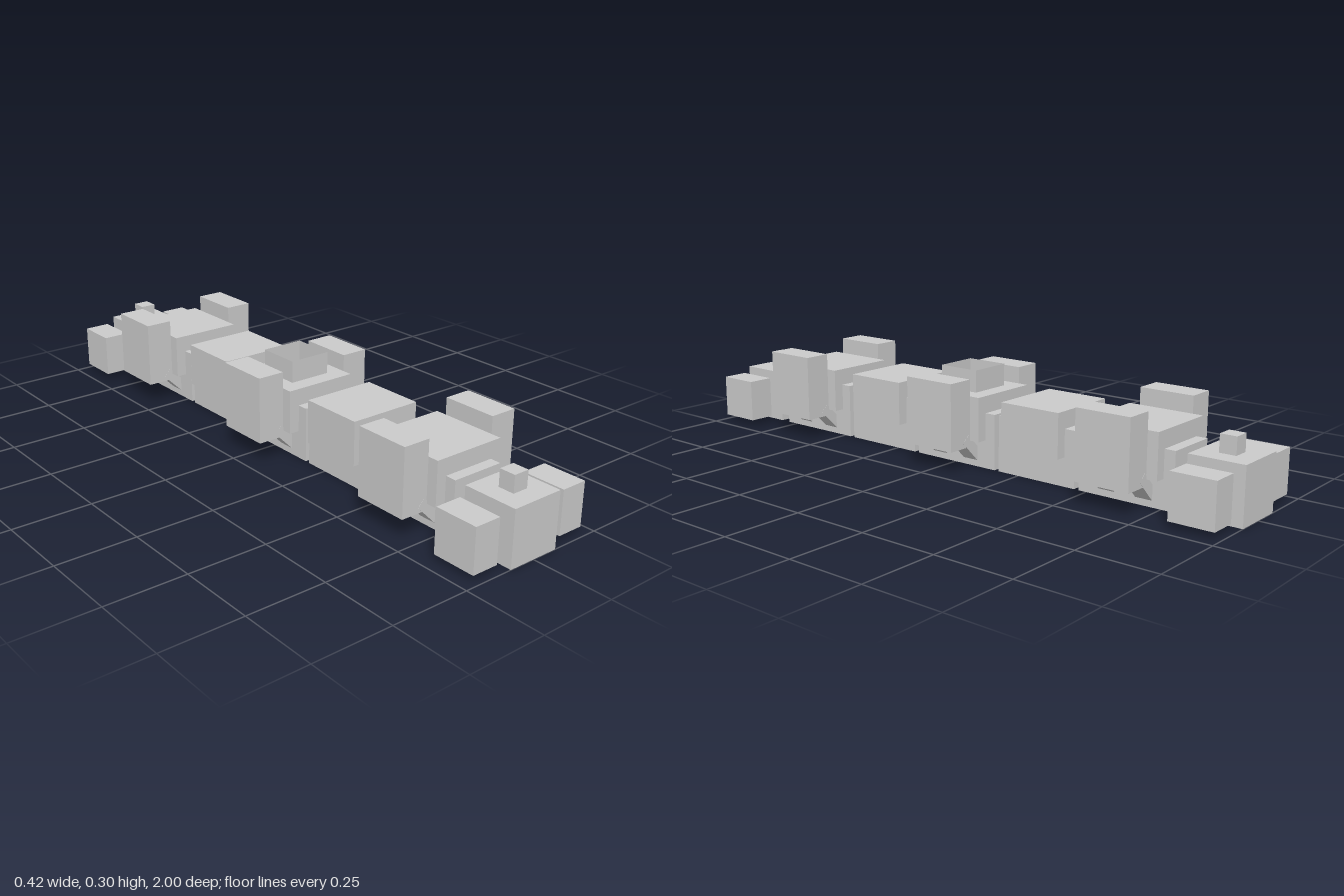
import * as THREE from 'three';

const material = new THREE.MeshStandardMaterial({ color: 0xcccccc, flatShading: true });
const thin = new THREE.MeshStandardMaterial({ color: 0xcccccc, flatShading: true, side: THREE.DoubleSide });

// Box given by its lower and upper limits on each axis
function block(parent, name, [x0, x1], [y0, y1], [z0, z1]) {
  const mesh = new THREE.Mesh(new THREE.BoxGeometry(x1 - x0, y1 - y0, z1 - z0), material);
  mesh.name = name;
  mesh.position.set((x0 + x1) / 2, (y0 + y1) / 2, (z0 + z1) / 2);
  parent.add(mesh);
  return mesh;
}

// Side module and its two slanted struts, on one side of a wide segment
function sideModule(parent, side) {
  const name = side > 0 ? 'left' : 'right';
  const xs = side > 0 ? [0.122, 0.211] : [-0.211, -0.122];
  block(parent, name + 'SideModule', xs, [0.07, 0.283], [-0.089, 0.089]);
  for (const z of [-0.062, 0.062]) {
    const strut = new THREE.Mesh(new THREE.BoxGeometry(0.094, 0.033, 0.055), material);
    strut.name = name + 'Strut';
    strut.position.set(side * 0.108, 0.0645, z);
    strut.rotation.z = side * Math.PI / 4;
    parent.add(strut);
  }
}

// Segment with a keel and an upper body; wide ones carry side modules
function segment(name, z, keelHalf, bodyHalf, wide) {
  const group = new THREE.Group();
  group.name = name;
  group.position.z = z;
  block(group, 'keel', [-0.087, 0.087], [0, 0.176], [-keelHalf, keelHalf]);
  block(group, 'upperBody', [-0.121, 0.121], [0.09, 0.23], [-bodyHalf, bodyHalf]);
  if (wide) for (const side of [-1, 1]) sideModule(group, side);
  return group;
}

// End unit with a top knob and a detached pod on each side
function endUnit(name, z) {
  const group = new THREE.Group();
  group.name = name;
  group.position.z = z;
  block(group, 'endBlock', [-0.087, 0.087], [0, 0.176], [-0.087, 0.087]);
  block(group, 'knob', [-0.026, 0.026], [0.176, 0.23], [-0.026, 0.026]);
  block(group, 'leftPod', [0.123, 0.21], [0.02, 0.159], [-0.07, 0.07]);
  block(group, 'rightPod', [-0.21, -0.123], [0.02, 0.159], [-0.07, 0.07]);
  return group;
}

export function createModel() {
  const model = new THREE.Group();
  model.name = 'segmentedVehicle';

  for (const s of [-1, 1]) {
    const place = s > 0 ? 'front' : 'rear';
    model.add(endUnit(place + 'End', s * 0.913));
    model.add(segment(place + 'WideSegment', s * 0.632, 0.158, 0.123, true));
    model.add(segment(place + 'LinkSegment', s * 0.316, 0.141, 0.105, false));
  }
  const middle = segment('middleSegment', 0, 0.158, 0.123, true);
  model.add(middle);

  // Open thin-walled collar on the middle segment
  const collar = new THREE.Group();
  collar.name = 'collar';
  for (let i = 0; i < 4; i++) {
    const wall = new THREE.Mesh(new THREE.PlaneGeometry(0.14, 0.07), thin);
    const a = i * Math.PI / 2;
    wall.name = 'collarWall';
    wall.position.set(Math.sin(a) * 0.07, 0.265, Math.cos(a) * 0.07);
    wall.rotation.y = a;
    collar.add(wall);
  }
  middle.add(collar);
  return model;
}
